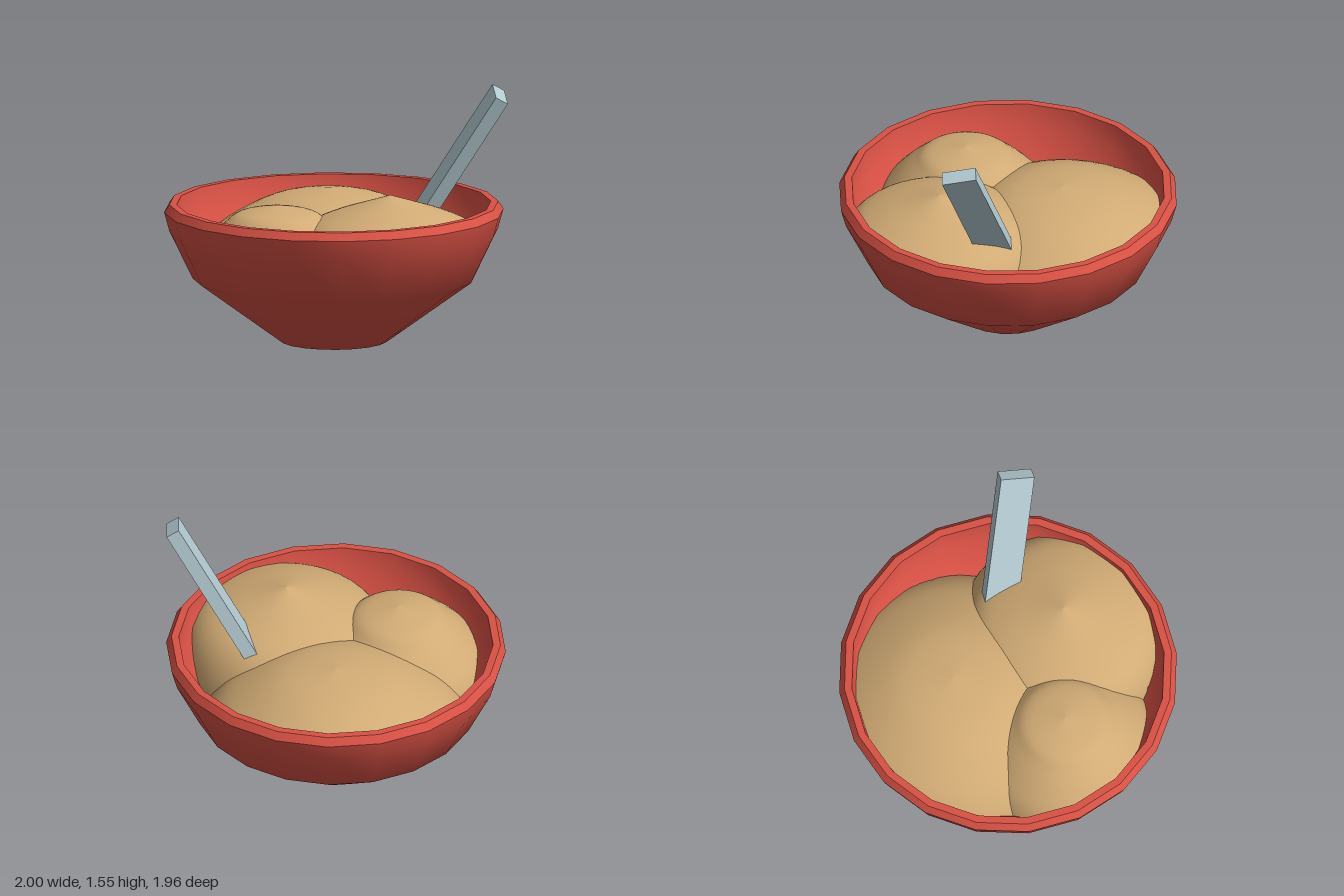
import * as THREE from 'three';

const red = new THREE.MeshStandardMaterial({ color: 0xd95145 });
red.name = 'bowl red';
const tan = new THREE.MeshStandardMaterial({ color: 0xd1ab75 });
tan.name = 'scoop tan';
const steel = new THREE.MeshStandardMaterial({ color: 0xb2cad0 });
steel.name = 'spoon steel';

const BOWL_X = -0.02;
const vecs = (pairs) => pairs.map(([r, y]) => new THREE.Vector2(r, y));

// Radius of the middle of the bowl wall at a given height
const WALL = [[0, 0.025], [0.3, 0.075], [0.775, 0.43], [0.915, 0.71], [0.93, 0.86]];
function wallRadius(y) {
  for (let i = 1; i < WALL.length; i++) {
    const [r0, y0] = WALL[i - 1], [r1, y1] = WALL[i];
    if (y <= y1) return r0 + (r1 - r0) * Math.max(0, (y - y0) / (y1 - y0));
  }
  return 0.93;
}

// Rounded scoop, turned from a profile and pulled in where it would pass through the bowl
function makeScoop(name, x, z, profile) {
  const points = new THREE.SplineCurve(vecs(profile)).getPoints(28).reverse();
  points[points.length - 1].x = 0;
  const geo = new THREE.LatheGeometry(points, 40);
  geo.translate(x, 0, z);
  const p = geo.attributes.position;
  for (let i = 0; i < p.count; i++) {
    const dx = p.getX(i) - BOWL_X, dz = p.getZ(i);
    const k = Math.min(1, wallRadius(p.getY(i)) / Math.hypot(dx, dz));
    p.setX(i, BOWL_X + dx * k);
    p.setZ(i, dz * k);
  }
  const mesh = new THREE.Mesh(geo, tan);
  mesh.name = name;
  return mesh;
}

export function createModel() {
  const model = new THREE.Group();
  model.name = 'bowlWithScoops';

  // Bowl: separate bands keep the rim edges sharp
  const bowl = new THREE.Group();
  bowl.name = 'bowl';
  bowl.position.x = BOWL_X;
  const bands = {
    outerWall: [[0, 0], [0.31, 0.05], [0.815, 0.42], [0.95, 0.7], [0.98, 0.81]],
    rimBevel: [[0.98, 0.81], [0.95, 0.855]],
    rimTop: [[0.95, 0.855], [0.907, 0.855]],
    innerWall: [[0.907, 0.855], [0.885, 0.71], [0.745, 0.44], [0.29, 0.1], [0, 0.05]],
  };
  for (const [name, pts] of Object.entries(bands)) {
    const mesh = new THREE.Mesh(new THREE.LatheGeometry(vecs(pts), 20), red);
    mesh.name = name;
    bowl.add(mesh);
  }
  model.add(bowl);

  // Three overlapping scoops
  model.add(
    makeScoop('backScoop', -0.13, -0.3,
      [[0, 0.885], [0.31, 0.835], [0.58, 0.7], [0.72, 0.57], [0.8, 0.42], [0.82, 0.25]]),
    makeScoop('leftScoop', 0.38, 0.25,
      [[0, 0.965], [0.17, 0.912], [0.34, 0.855], [0.48, 0.785], [0.57, 0.67], [0.62, 0.5], [0.62, 0.3]]),
    makeScoop('rightScoop', -0.26, 0.38,
      [[0, 0.9], [0.21, 0.858], [0.3, 0.795], [0.4, 0.7], [0.5, 0.57], [0.55, 0.4], [0.53, 0.25]]),
  );

  // Spoon handle: leaning outward and twisted about its own length
  const length = 1.1;
  const handle = new THREE.Mesh(new THREE.BoxGeometry(0.08, length, 0.2), steel);
  handle.name = 'spoonHandle';
  handle.position.set(0.935, 1.512, -0.137);
  handle.rotateZ(-0.569);
  handle.rotateY(0.42);
  handle.translateY(-length / 2);
  model.add(handle);

  return model;
}
